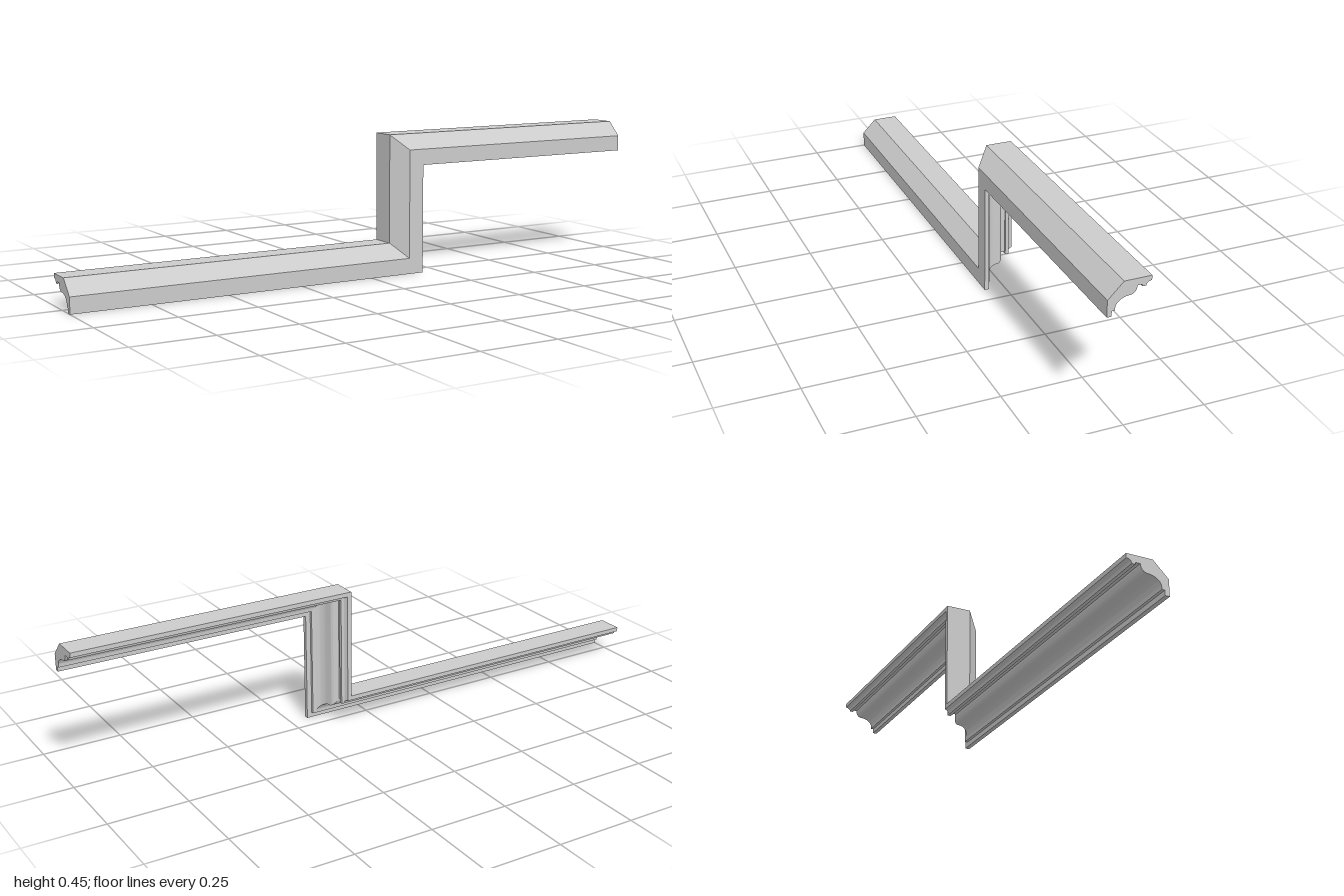
import * as THREE from 'three';
import { toCreasedNormals } from 'three/addons/utils/BufferGeometryUtils.js';

const BEND_X = 0.19;  // right side of the riser
const RISE = 0.35;    // height between the two rails

// Moulding cross-section: x = distance towards the back, y = distance from the lower edge
function mouldingProfile() {
  const pts = [];
  const add = (u, h) => pts.push(new THREE.Vector2(u, h));
  const arc = (cu, ch, ru, rh, from, to, n = 12) => {
    for (let i = 0; i <= n; i++) {
      const a = from + (to - from) * i / n;
      add(cu + ru * Math.cos(a), ch + rh * Math.sin(a));
    }
  };
  // front lip and small step
  add(-0.064, 0);
  add(-0.05, 0);
  add(-0.05, 0.016);
  add(-0.041, 0.016);
  // S-curve
  arc(0.002, 0.022, 0.043, 0.031, Math.PI, Math.PI / 2);
  arc(0.002, 0.077, 0.019, 0.024, -Math.PI / 2 + 0.13, 0);
  // fillets
  add(0.036, 0.077);
  add(0.036, 0.071);
  add(0.047, 0.071);
  // rear quarter round
  arc(0.063, 0.072, 0.016, 0.012, Math.PI, Math.PI / 2);
  // back, top and front chamfer
  add(0.063, 0.098);
  add(-0.018, 0.098);
  add(-0.064, 0.051);
  return pts;
}

// One straight length between two (possibly mitred) ends
function rail(name, profile, start, end, material, capStart, capEnd) {
  const A = profile.map(start), B = profile.map(end), pos = [];
  const tri = (...corners) => corners.forEach((p) => pos.push(p.x, p.y, p.z));
  profile.forEach((_, i) => {
    const j = (i + 1) % profile.length;
    tri(A[i], A[j], B[j]);
    tri(A[i], B[j], B[i]);
  });
  for (const [a, b, c] of THREE.ShapeUtils.triangulateShape(profile, [])) {
    if (capStart) tri(A[a], A[c], A[b]);
    if (capEnd) tri(B[a], B[b], B[c]);
  }
  const geometry = new THREE.BufferGeometry();
  geometry.setAttribute('position', new THREE.Float32BufferAttribute(pos, 3));
  const mesh = new THREE.Mesh(toCreasedNormals(geometry, 0.5), material);
  mesh.name = name;
  return mesh;
}

export function createModel() {
  const group = new THREE.Group();
  group.name = 'steppedMoulding';
  const material = new THREE.MeshStandardMaterial({ color: 0xcccccc });
  const profile = mouldingProfile();

  // square ends and 45 degree mitres
  const leftEnd = (p) => new THREE.Vector3(-1, p.y, -p.x);
  const lowerMitre = (p) => new THREE.Vector3(BEND_X - p.y, p.y, -p.x);
  const upperMitre = (p) => new THREE.Vector3(BEND_X - p.y, RISE + p.y, -p.x);
  const rightEnd = (p) => new THREE.Vector3(1, RISE + p.y, -p.x);

  group.add(
    rail('lowerRail', profile, leftEnd, lowerMitre, material, true, false),
    rail('riser', profile, lowerMitre, upperMitre, material, false, false),
    rail('upperRail', profile, upperMitre, rightEnd, material, false, true),
  );
  return group;
}
